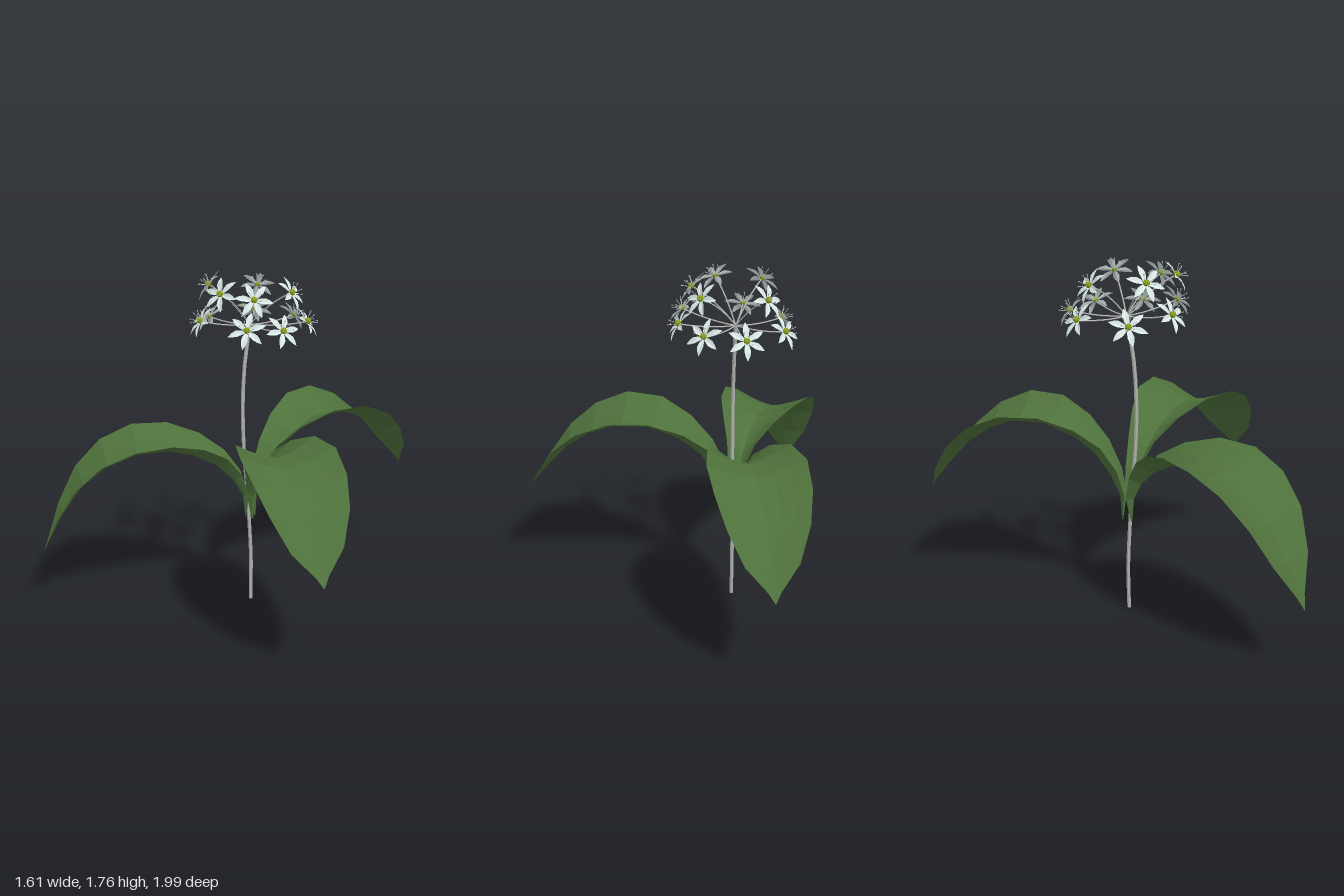
import * as THREE from 'three';

const mat = (name, color, flatShading = false) =>
  Object.assign(new THREE.MeshStandardMaterial({ color, flatShading, side: THREE.DoubleSide }), { name });

// Blade along +z. Each row is [distance, height, half width, edge lift].
function blade(rows, across, scale = 1) {
  const pos = [], idx = [];
  rows.forEach(([d, h, w, lift], i) => {
    const a = rows[Math.max(i - 1, 0)], b = rows[Math.min(i + 1, rows.length - 1)];
    const n = new THREE.Vector2(-(b[1] - a[1]), b[0] - a[0]).normalize();
    for (let j = 0; j <= across; j++) {
      const u = (2 * j) / across - 1, l = lift * Math.abs(u) ** 1.4;
      pos.push(u * w, h + n.y * l, (d + n.x * l) * scale);
      if (i && j) {
        const p = i * (across + 1) + j, q = p - across - 1;
        idx.push(q - 1, p - 1, q, q, p - 1, p);
      }
    }
  });
  const g = new THREE.BufferGeometry();
  g.setAttribute('position', new THREE.Float32BufferAttribute(pos, 3));
  g.setIndex(idx);
  g.computeVertexNormals();
  return g;
}

function add(parent, name, geometry, material) {
  const m = new THREE.Mesh(geometry, material);
  m.name = name;
  parent.add(m);
  return m;
}

export function createModel() {
  const model = new THREE.Group();
  model.name = 'floweringPlant';
  const leafGreen = mat('leafGreen', 0x4e713b, true);
  const stemGrey = mat('stemGrey', 0xb0b0ae, true);
  const petalWhite = mat('petalWhite', 0xd8e8e4, true);
  const heartOlive = mat('heartOlive', 0x8a9c16);
  const antherGrey = mat('antherGrey', 0xb4b6ac);

  // Gently swaying stem
  const stemPath = new THREE.CatmullRomCurve3(
    [[0, 0.047], [0.22, 0.042], [0.5, 0.054], [0.95, 0.083], [1.25, 0.074], [1.5, 0.035]]
      .map(([y, z]) => new THREE.Vector3(-0.235, y, z)));
  add(model, 'stem', new THREE.TubeGeometry(stemPath, 14, 0.0095, 6), stemGrey);
  const foot = add(model, 'stemFoot', new THREE.CircleGeometry(0.009, 6), stemGrey);
  foot.rotation.x = Math.PI / 2;
  foot.position.set(-0.235, 0.001, 0.047);

  // Three arching, cupped leaves; the front one droops lower
  const arch = [
    [0.03, 0.47, 0.005, 0.004], [0.04, 0.6, 0.026, 0.03], [0.09, 0.7, 0.042, 0.055],
    [0.17, 0.8, 0.075, 0.075], [0.28, 0.88, 0.135, 0.085], [0.42, 0.94, 0.2, 0.085],
    [0.58, 0.945, 0.235, 0.08], [0.73, 0.89, 0.225, 0.07], [0.86, 0.8, 0.19, 0.05],
    [0.97, 0.68, 0.125, 0.025], [1.045, 0.59, 0.03, 0.005], [1.075, 0.55, 0.002, 0]];
  const droopHeights = [0.47, 0.59, 0.68, 0.76, 0.82, 0.86, 0.855, 0.8, 0.7, 0.55, 0.41, 0.35];
  const droop = arch.map(([d, , w, l], i) => [d, droopHeights[i], w, l]);
  const leaves = [
    ['backLeaf', arch, -0.018, -1.03, 0.965],
    ['leftLeaf', arch, 1.03, 0.32, 1.005],
    ['frontLeaf', droop, -0.485, 0.95, 0.995]];
  for (const [name, rows, dx, dz, scale] of leaves) {
    const leaf = add(model, name, blade(rows, 6, scale), leafGreen);
    leaf.position.set(-0.235, 0, 0.04);
    leaf.rotation.y = Math.atan2(dx, dz);
  }

  // Shared flower geometry
  const petal = blade([[0.006, 0, 0.005, 0.001], [0.028, 0.003, 0.012, 0.003],
    [0.052, 0.005, 0.016, 0.004], [0.073, 0.003, 0.011, 0.002], [0.094, -0.002, 0.0008, 0]], 2);
  const tip = new THREE.Vector3(0, 0.045, 0.034);
  const filament = new THREE.TubeGeometry(
    new THREE.LineCurve3(new THREE.Vector3(0, 0.004, 0.004), tip), 1, 0.0012, 4);
  const anther = new THREE.SphereGeometry(0.0035, 6, 4).translate(tip.x, tip.y, tip.z);
  const heart = new THREE.SphereGeometry(0.016, 10, 8);

  function flower() {
    const g = new THREE.Group();
    g.name = 'flower';
    add(g, 'heart', heart, heartOlive).position.y = 0.009;
    for (let k = 0; k < 6; k++) {
      const a = (k * Math.PI) / 3;
      add(g, 'petal', petal, petalWhite).rotation.y = a;
      add(g, 'filament', filament, petalWhite).rotation.y = a + Math.PI / 6;
      add(g, 'anther', anther, antherGrey).rotation.y = a + Math.PI / 6;
    }
    return g;
  }

  // Umbel: a lower ring and an upper ring of flowers on thin stalks
  const hub = new THREE.Vector3(-0.235, 1.495, 0.035);
  const heads = [
    [-0.24, 1.505, -0.235], [-0.44, 1.51, -0.135], [-0.05, 1.515, -0.175], [0.04, 1.515, 0.035],
    [0, 1.535, 0.215], [-0.31, 1.53, 0.27], [-0.475, 1.5, 0.115],
    [-0.165, 1.685, 0.25], [-0.385, 1.685, 0.17], [-0.36, 1.655, -0.1],
    [-0.05, 1.67, -0.08], [-0.04, 1.665, 0.145]];
  const up = new THREE.Vector3(0, 1, 0);
  heads.forEach((p, i) => {
    const end = new THREE.Vector3(...p);
    const out = end.clone().sub(hub).setY(0).normalize();
    const facing = out.clone().addScaledVector(up, 0.7).normalize();
    const bend = hub.clone().lerp(end, 0.5).addScaledVector(up, p[1] > 1.6 ? 0.04 : -0.02);
    add(model, 'flowerStalk', new THREE.TubeGeometry(
      new THREE.QuadraticBezierCurve3(hub, bend, end), 6, 0.0038, 4), stemGrey);
    const f = flower();
    f.position.copy(end);
    f.quaternion.setFromUnitVectors(up, facing);
    f.rotateY(i * 0.7);
    model.add(f);
  });
  return model;
}
